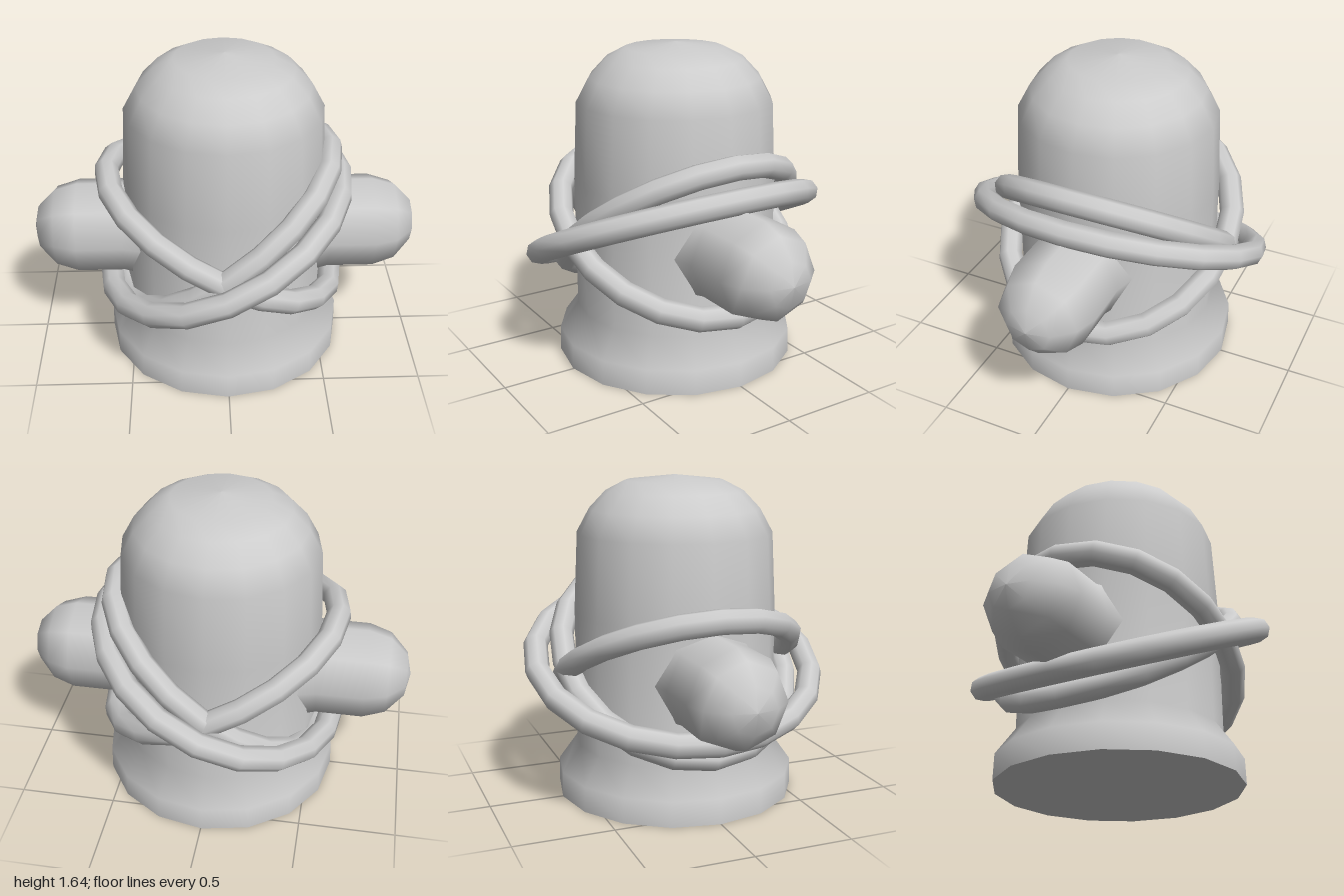
import * as THREE from 'three';

const grey = new THREE.MeshStandardMaterial({ color: 0xcccccc });

function lathe(name, profile, segments) {
  const points = profile.map(([r, y]) => new THREE.Vector2(r, y));
  const mesh = new THREE.Mesh(new THREE.LatheGeometry(points, segments), grey);
  mesh.name = name;
  return mesh;
}

// Closed ellipse lying flat, a along x and b along z
class Ellipse extends THREE.Curve {
  constructor(a, b) {
    super();
    this.a = a;
    this.b = b;
  }
  getPoint(t, target = new THREE.Vector3()) {
    const angle = t * Math.PI * 2;
    return target.set(this.a * Math.cos(angle), 0, this.b * Math.sin(angle));
  }
}

export function createModel() {
  const model = new THREE.Group();
  model.name = 'hydrant';

  // Flared foot, slightly tapering barrel and domed top
  const barrel = lathe('barrel', [
    [0.62, 0], [0.617, 0.13], [0.52, 0.265], [0.52, 0.95], [0.5, 1.35],
    [0.435, 1.47], [0.35, 1.56], [0.25, 1.612], [0, 1.64],
  ], 16);
  barrel.position.x = -0.005;
  model.add(barrel);

  const underside = new THREE.Mesh(new THREE.CircleGeometry(0.62, 16), grey);
  underside.name = 'underside';
  underside.rotation.x = Math.PI / 2;
  underside.position.x = -0.005;
  model.add(underside);

  // Rounded side outlets
  for (const side of [1, -1]) {
    const outlet = lathe(side > 0 ? 'leftOutlet' : 'rightOutlet', [
      [0.275, 0.42], [0.247, 0.53], [0.247, 0.77], [0.21, 0.885],
      [0.115, 0.975], [0, 1],
    ], 8);
    outlet.rotation.z = -side * Math.PI / 2;
    outlet.position.y = 0.672;
    model.add(outlet);
  }

  // Tilted hoops slung around the barrel
  const hoops = [
    { name: 'wideHoop', x: -0.01, y: 0.685, a: 0.665, b: 0.735, tilt: 25 },
    { name: 'steepHoop', x: 0, y: 0.71, a: 0.67, b: 0.59, tilt: 37 },
    { name: 'crossingHoop', x: -0.02, y: 0.683, a: 0.668, b: 0.59, tilt: -28.4 },
  ];
  for (const { name, x, y, a, b, tilt } of hoops) {
    const hoop = new THREE.Mesh(
      new THREE.TubeGeometry(new Ellipse(a, b), 20, 0.063, 8, true), grey);
    hoop.name = name;
    hoop.position.set(x, y, 0);
    hoop.rotation.z = THREE.MathUtils.degToRad(tilt);
    model.add(hoop);
  }

  return model;
}
